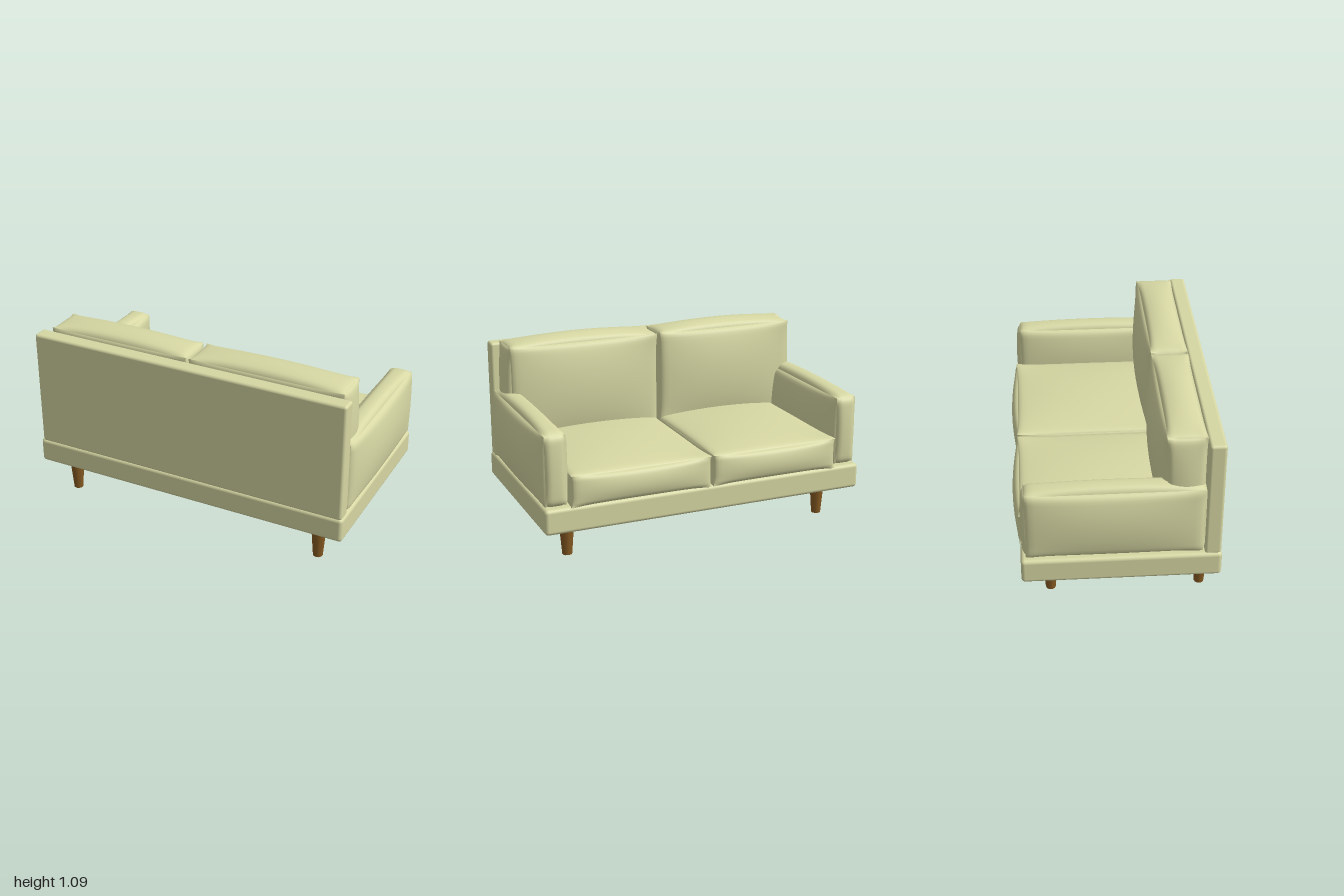
import * as THREE from 'three';
import { mergeVertices } from 'three/addons/utils/BufferGeometryUtils.js';
import { RoundedBoxGeometry } from 'three/addons/geometries/RoundedBoxGeometry.js';

const fabric = new THREE.MeshStandardMaterial({ color: 0xd6d7a3 });
fabric.name = 'pale olive fabric';
const wood = new THREE.MeshStandardMaterial({ color: 0x855a22 });
wood.name = 'brown wood';

// Stuffed cushion between two corners: rounded edges, each face bulging by
// its own amount, and slightly pulled-out corners.
// bulge = { x: [low, high], y: [low, high], z: [low, high] }
function cushion(name, min, max, radius, bulge, ear = 0.012) {
  const lo = new THREE.Vector3(...min), hi = new THREE.Vector3(...max);
  const centre = lo.clone().add(hi).multiplyScalar(0.5);
  const half = hi.clone().sub(lo).multiplyScalar(0.5);
  const box = new THREE.BoxGeometry(2, 2, 2, 24, 24, 24);
  box.deleteAttribute('uv');
  box.deleteAttribute('normal');
  const geo = mergeVertices(box);
  const pos = geo.attributes.position;
  const u = new THREE.Vector3(), p = new THREE.Vector3(), core = new THREE.Vector3();
  const inner = half.clone().subScalar(radius);
  for (let i = 0; i < pos.count; i++) {
    u.fromBufferAttribute(pos, i);
    // rows gather towards the edges
    for (const a of ['x', 'y', 'z']) u[a] = Math.sin(u[a] * Math.PI / 2);
    p.copy(u).multiply(half);
    core.copy(p).clamp(inner.clone().negate(), inner);
    p.sub(core).setLength(radius).add(core);
    const pull = ear * Math.pow(Math.abs(u.x * u.y * u.z), 6);
    for (const [a, b, c] of [['x', 'y', 'z'], ['y', 'z', 'x'], ['z', 'x', 'y']]) {
      const swell = (1 - u[b] ** 2) * (1 - u[c] ** 2);
      const side = u[a] < 0 ? 0 : 1;
      p[a] += u[a] * Math.abs(u[a]) * bulge[a][side] * Math.pow(swell, 0.8) + Math.sign(u[a]) * pull;
    }
    p.add(centre);
    pos.setXYZ(i, p.x, p.y, p.z);
  }
  geo.computeVertexNormals();
  const mesh = new THREE.Mesh(geo, fabric);
  mesh.name = name;
  return mesh;
}

// Hard upholstered panel with softened edges
function panel(name, min, max, radius) {
  const size = max.map((v, i) => v - min[i]);
  const mesh = new THREE.Mesh(new RoundedBoxGeometry(...size, 4, radius), fabric);
  mesh.position.set(...max.map((v, i) => (v + min[i]) / 2));
  mesh.name = name;
  return mesh;
}

export function createModel() {
  const sofa = new THREE.Group();
  sofa.name = 'sofa';

  // Frame, with the backrest on the +z side
  sofa.add(panel('base', [-0.98, 0.187, -0.53], [0.965, 0.335, 0.565], 0.022));
  sofa.add(panel('backrest', [-0.967, 0.325, 0.47], [0.957, 1.03, 0.56], 0.016));

  for (const s of [-1, 1]) {
    const side = s > 0 ? 'left' : 'right';
    // Spans and bulges are given for +x and flipped for -x
    const span = (a, b) => (s > 0 ? [a, b] : [-b, -a]);
    const both = (a, b) => (s > 0 ? [a, b] : [b, a]);

    // Arm
    const [a0, a1] = span(0.822, 0.963);
    sofa.add(cushion(`${side}Arm`, [a0, 0.335, -0.513], [a1, 0.757, 0.472], 0.045,
      { x: both(0.034, 0.037), y: [0, 0.024], z: [0.014, 0.01] }, 0.008));

    // Seat cushion
    const gap = s > 0 ? -0.018 : 0.03;
    const [s0, s1] = span(gap, 0.815);
    sofa.add(cushion(`${side}SeatCushion`, [s0, 0.332, -0.535], [s1, 0.515, 0.44], 0.03,
      { x: [0, 0], y: [0, 0.045], z: [0.032, 0] }));

    // Back cushion
    const [b0, b1] = span(gap, 0.908);
    sofa.add(cushion(`${side}BackCushion`, [b0, 0.46, 0.25], [b1, 1.05, 0.468], 0.035,
      { x: both(0, 0.028), y: [0, 0.036], z: [0.05, 0] }));

    // Tapered legs
    for (const z of [-0.37, 0.47]) {
      const leg = new THREE.Mesh(new THREE.CylinderGeometry(0.044, 0.028, 0.2, 10), wood);
      leg.name = z > 0 ? `${side}BackLeg` : `${side}FrontLeg`;
      leg.position.set(s * 0.795, 0.1, z);
      sofa.add(leg);
    }
  }
  return sofa;
}
